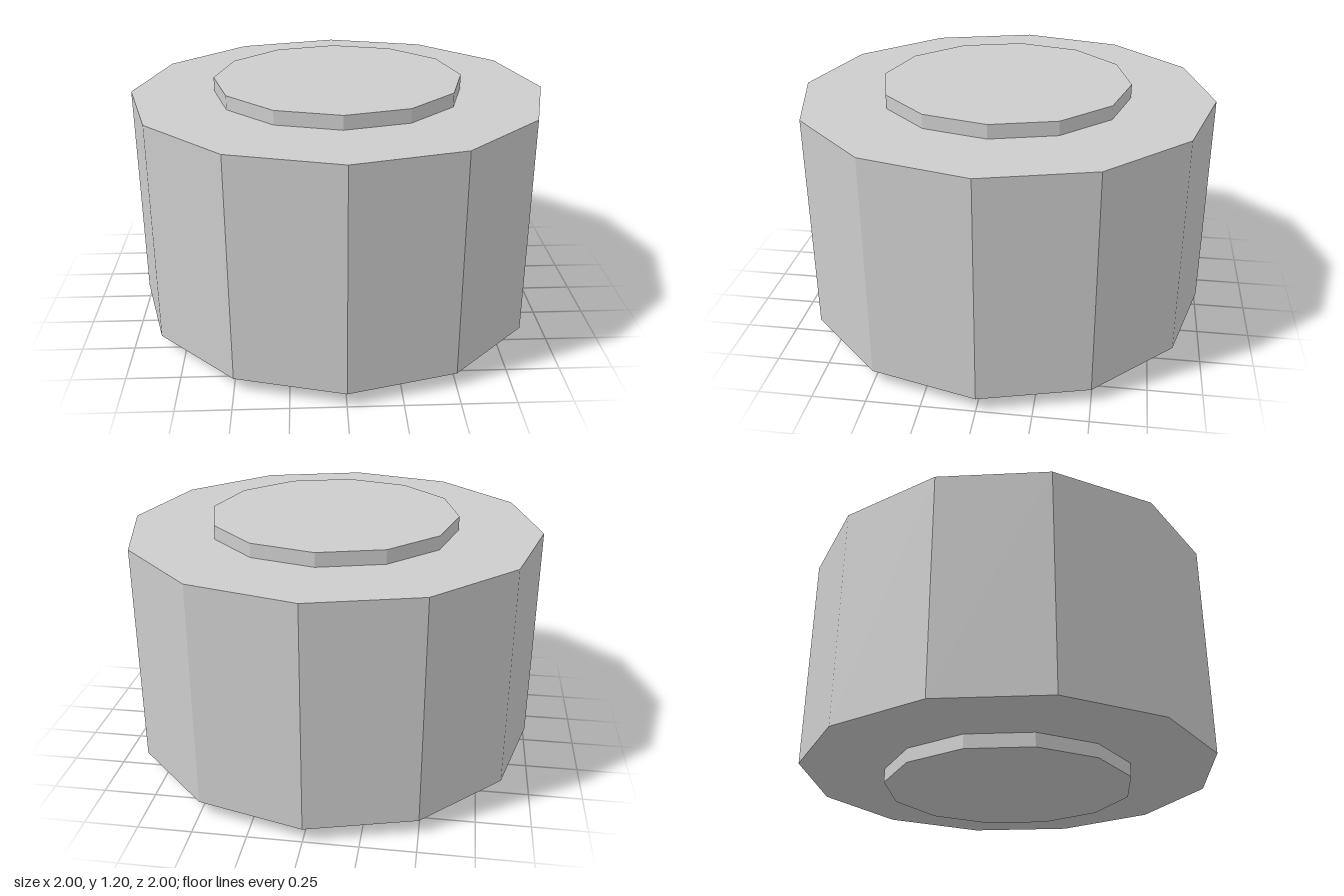
import * as THREE from 'three';

const SIDES = 12;
const HEIGHT = 1.2;

export function createModel() {
  const group = new THREE.Group();
  group.name = 'wheel';
  const grey = new THREE.MeshStandardMaterial({ color: 0xcccccc, flatShading: true });
  grey.name = 'light grey';

  // Upright faceted drum centred at mid height
  const addDrum = (name, radius, height) => {
    const mesh = new THREE.Mesh(new THREE.CylinderGeometry(radius, radius, height, SIDES), grey);
    mesh.name = name;
    mesh.position.y = HEIGHT / 2;
    group.add(mesh);
  };

  addDrum('tyre', 1, 1.067);
  // Hub runs through the tyre and stands proud at both ends
  addDrum('hub', 0.6, HEIGHT);

  return group;
}
